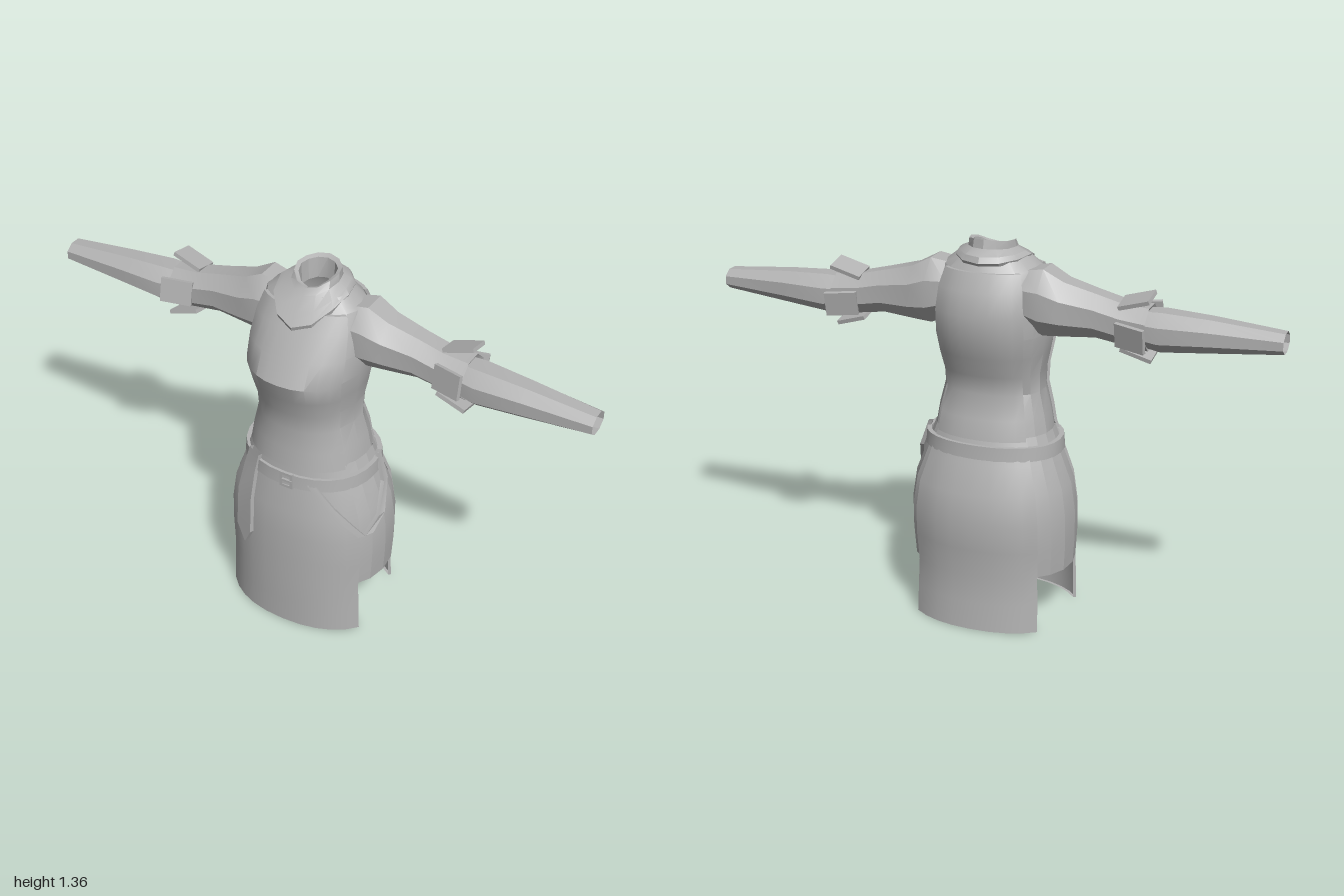
import * as THREE from 'three';
import { mergeVertices, toCreasedNormals } from 'three/addons/utils/BufferGeometryUtils.js';

const cloth = new THREE.MeshStandardMaterial({ color: 0xb2b2b2, side: THREE.DoubleSide });
cloth.name = 'grey cloth';

// body outlines, bottom to top: [y, half width, front depth, back depth]
const SKIRT = [
  [0, 0.295, 0.225, 0.225], [0.1, 0.292, 0.226, 0.218], [0.2, 0.288, 0.226, 0.212], [0.3, 0.294, 0.224, 0.224],
  [0.4, 0.293, 0.222, 0.23], [0.5, 0.278, 0.214, 0.216], [0.6, 0.24, 0.195, 0.18], [0.69, 0.208, 0.183, 0.148],
];
const TORSO = [
  [0.68, 0.207, 0.19, 0.155], [0.75, 0.195, 0.183, 0.142], [0.83, 0.175, 0.176, 0.112], [0.9, 0.177, 0.185, 0.132],
  [0.97, 0.19, 0.21, 0.16], [1.04, 0.2, 0.233, 0.18], [1.12, 0.2, 0.192, 0.188], [1.2, 0.19, 0.14, 0.17],
  [1.26, 0.17, 0.1, 0.14], [1.3, 0.12, 0.07, 0.115],
];

const soft = (v) => Math.sign(v) * Math.abs(v) ** 0.9;

// point on an outline at angle t (0 = front, PI/2 = left side), pushed out by off
function onRing([y, hw, zf, zb], t, off = 0) {
  const c = Math.cos(t);
  return [(hw + off) * soft(Math.sin(t)), y, ((c > 0 ? zf : zb) + off) * soft(c)];
}

// outline at any height, interpolated
function ringAt(rows, y) {
  let i = 0;
  while (i < rows.length - 2 && rows[i + 1][0] < y) i++;
  const k = (y - rows[i][0]) / (rows[i + 1][0] - rows[i][0]);
  return rows[i].map((v, n) => v + (rows[i + 1][n] - v) * k);
}

// skin over rows of points
function skin(rows, name, crease = 0.5) {
  const n = rows[0].length, index = [];
  for (let i = 0; i < rows.length - 1; i++)
    for (let j = 0; j < n - 1; j++) {
      const a = i * n + j, c = a + n;
      index.push(a, a + 1, c + 1, a, c + 1, c);
    }
  let geo = new THREE.BufferGeometry();
  geo.setAttribute('position', new THREE.Float32BufferAttribute(rows.flat(2), 3));
  geo.setIndex(index);
  geo = toCreasedNormals(mergeVertices(geo, 1e-5), crease);
  const mesh = new THREE.Mesh(geo, cloth);
  mesh.name = name;
  return mesh;
}

// part of the body between two angles, with turned-in edges when it has thickness
function panel(rows, a0, a1, n, off, name, crease) {
  const line = (row, thick) => {
    const pts = [];
    for (let j = 0; j <= n; j++) pts.push(onRing(row, a0 + ((a1 - a0) * j) / n, thick));
    return off ? [onRing(row, a0), ...pts, onRing(row, a1)] : pts;
  };
  const lines = rows.map((r) => line(r, off));
  if (off) {
    lines.unshift(line(rows[0], 0));
    lines.push(line(rows[rows.length - 1], 0));
  }
  return skin(lines, name, crease);
}

// strap lying on the skirt; stops are [y, angle, half width in angle]
function strap(stops, lo, hi, name) {
  const rows = stops.map(([y, t, w]) => {
    const r = ringAt(SKIRT, y);
    const q = [[-w, lo], [-w, hi], [w, hi], [w, lo], [-w, lo]];
    return q.map(([d, o]) => onRing(r, t + d, o));
  });
  rows.reverse();
  return skin(rows, name, 0.4);
}

// tube along x; stops are [x, centre y, centre z, half height, half depth]
function sleeve(stops, side, n, name) {
  return skin(stops.map(([x, cy, cz, ry, rz]) => {
    const ring = [];
    for (let j = 0; j <= n; j++) {
      const a = ((j + 0.5) / n) * Math.PI * 2;
      ring.push([side * x, cy + ry * Math.cos(a), cz + side * rz * Math.sin(a)]);
    }
    return ring;
  }), name, 0.6);
}

function makeArm(side) {
  const arm = new THREE.Group();
  arm.name = side > 0 ? 'leftSleeve' : 'rightSleeve';
  arm.add(sleeve([
    [0.13, 1.17, -0.03, 0.1, 0.1], [0.2, 1.162, -0.035, 0.122, 0.11], [0.27, 1.145, -0.035, 0.1, 0.095],
    [0.38, 1.135, -0.035, 0.08, 0.08], [0.47, 1.117, -0.035, 0.075, 0.08], [0.56, 1.108, -0.035, 0.078, 0.085],
    [0.555, 1.108, -0.035, 0.066, 0.072],
  ], side, 8, 'upperSleeve'));
  arm.add(sleeve([
    [0.5, 1.11, -0.035, 0.06, 0.07], [0.6, 1.103, -0.03, 0.072, 0.085], [0.76, 1.105, -0.025, 0.06, 0.07],
    [1, 1.105, -0.02, 0.037, 0.05],
  ], side, 8, 'forearmSleeve'));
  // flared flaps around the elbow
  for (let k = 0; k < 4; k++) {
    const pivot = new THREE.Group();
    pivot.name = 'elbowFlap';
    pivot.position.set(side * 0.515, 1.11, -0.035);
    pivot.rotation.x = (k * Math.PI) / 2 - 0.2;
    const flap = new THREE.Mesh(new THREE.BoxGeometry(0.11, 0.014, 0.085), cloth);
    flap.name = 'flap';
    flap.position.y = 0.092;
    flap.rotation.z = side * 0.3;
    pivot.add(flap);
    arm.add(pivot);
  }
  return arm;
}

function makeCollar() {
  // [half width, front z, back z, front y, side y, back y]
  const rings = [
    [0.125, 0.15, -0.14, 1.2, 1.285, 1.28], [0.128, 0.155, -0.148, 1.215, 1.3, 1.29],
    [0.112, 0.125, -0.138, 1.25, 1.312, 1.31], [0.082, 0.08, -0.105, 1.295, 1.325, 1.33],
    [0.078, 0.06, -0.098, 1.315, 1.35, 1.36], [0.064, 0.045, -0.082, 1.31, 1.345, 1.352],
    [0.06, 0.04, -0.075, 1.25, 1.27, 1.28],
  ];
  return skin(rings.map(([w, zf, zb, yf, ys, yb]) => {
    const pts = [], mid = (zf + zb) / 2, d = (zf - zb) / 2;
    for (let j = 0; j <= 12; j++) {
      const t = (j / 12) * Math.PI * 2, c = Math.cos(t);
      pts.push([w * Math.sin(t), ys + ((c > 0 ? yf : yb) - ys) * c * c, mid + d * c]);
    }
    return pts;
  }), 'collar');
}

function makeBelt() {
  const belt = new THREE.Group();
  belt.name = 'belt';
  const band = panel([[0.612, 0.228, 0.196, 0.168], [0.66, 0.224, 0.192, 0.164]],
    -Math.PI, Math.PI, 28, 0.016, 'beltBand', 0.5);
  // the band sits a little lower in front
  const p = band.geometry.attributes.position;
  for (let i = 0; i < p.count; i++) p.setY(i, p.getY(i) - p.getZ(i) * 0.03);
  belt.add(band);
  // square buckle with its pin
  const frame = new THREE.Shape();
  frame.moveTo(-0.025, -0.03).lineTo(0.025, -0.03).lineTo(0.025, 0.03).lineTo(-0.025, 0.03).closePath();
  const hole = new THREE.Path();
  hole.moveTo(-0.015, -0.02).lineTo(-0.015, 0.02).lineTo(0.015, 0.02).lineTo(0.015, -0.02).closePath();
  frame.holes.push(hole);
  const buckle = new THREE.Mesh(new THREE.ExtrudeGeometry(frame, { depth: 0.01, bevelEnabled: false }), cloth);
  buckle.name = 'buckle';
  buckle.position.set(0.01, 0.63, 0.204);
  const pin = new THREE.Mesh(new THREE.BoxGeometry(0.04, 0.008, 0.008), cloth);
  pin.name = 'bucklePin';
  pin.position.set(0.015, 0.63, 0.213);
  belt.add(buckle, pin);
  // long belt end and the two thin straps meeting at the left hip
  belt.add(strap([[0.675, -0.58, 0.14], [0.6, -0.58, 0.14], [0.5, -0.53, 0.14], [0.35, -0.5, 0.13],
    [0.296, -0.47, 0.01]], 0.012, 0.026, 'beltEnd'));
  belt.add(strap([[0.63, 0.38, 0.055], [0.55, 0.62, 0.055], [0.48, 0.85, 0.055], [0.435, 1.0, 0.05]],
    0.012, 0.026, 'frontHipStrap'));
  belt.add(strap([[0.675, 1.75, 0.06], [0.58, 1.65, 0.06], [0.49, 1.38, 0.06], [0.435, 1.13, 0.06]],
    0.01, 0.024, 'sideHipStrap'));
  return belt;
}

export function createModel() {
  const model = new THREE.Group();
  model.name = 'tunic';

  // bodice with raised front and back panels
  model.add(panel(TORSO, -Math.PI, Math.PI, 18, 0, 'bodice', 0.4));
  model.add(panel(TORSO.slice(0, 9), -1, 1, 10, 0.011, 'bodiceFront', 0.7));
  model.add(panel(TORSO.slice(0, 9), Math.PI - 0.8, Math.PI + 0.8, 8, 0.011, 'bodiceBack', 0.7));
  model.add(makeCollar());

  // skirt: long front and back panels, short sides
  model.add(panel(SKIRT, -1, 1, 10, 0.01, 'skirtFront', 0.7));
  model.add(panel(SKIRT, Math.PI - 0.8, Math.PI + 0.8, 8, 0.01, 'skirtBack', 0.7));
  const sides = SKIRT.slice(2);
  model.add(panel(sides, 0.95, Math.PI - 0.75, 5, 0, 'skirtLeft', 0.25));
  model.add(panel(sides, Math.PI + 0.75, Math.PI * 2 - 0.95, 5, 0, 'skirtRight', 0.25));

  model.add(makeBelt(), makeArm(1), makeArm(-1));
  return model;
}
